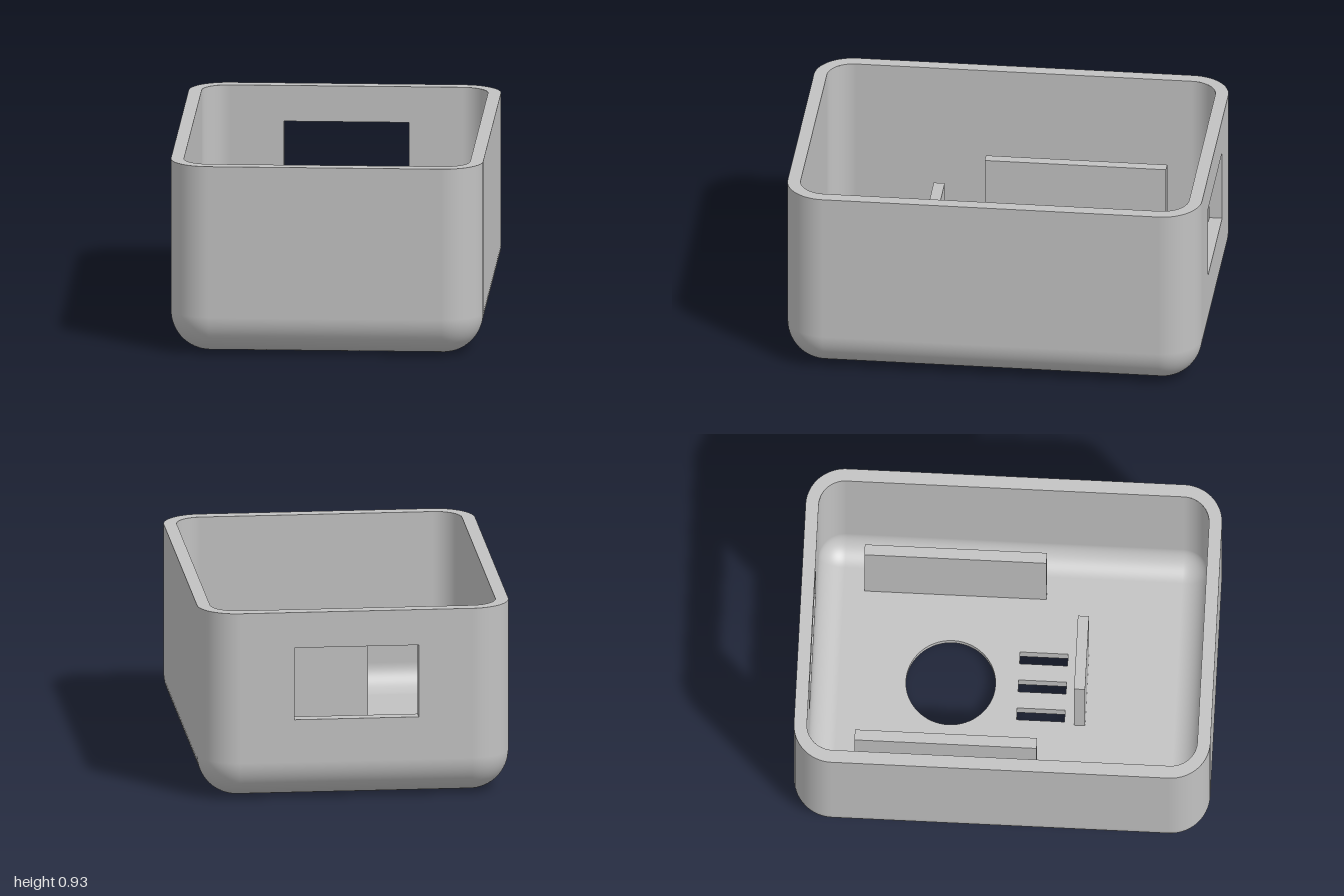
import * as THREE from 'three';

const HX = 0.56, HZ = 0.81;        // centres of the rounded corners
const R_OUT = 0.19, R_IN = 0.1275; // outer and inner corner radii
const TOP = 0.93, FLOOR = R_OUT - R_IN, RECESS = 0.03;
const HOLE = { x: 0, z: -0.275, r: 0.215, recess: 0.315 };
const SLOTS = [-0.143, 0, 0.143];
const SLOT = { w: 0.06, z0: 0.05, z1: 0.28 };
const WINDOW = { w: 0.6, y0: 0.4, y1: 0.755 };

// Rounded wall that rolls under into the floor; the flat back is left open for the window panel
function shellSurface(r, inside) {
  const n = 16, cols = 4 * (n + 1), backGap = 3 * (n + 1) - 1;
  const signs = [[1, 1], [-1, 1], [-1, -1], [1, -1]];
  const pos = [], nor = [], idx = [];
  const flip = inside ? -1 : 1;
  for (let j = -1; j <= n; j++) {
    const phi = Math.max(j, 0) / n * Math.PI / 2;
    const c = Math.cos(phi), s = Math.sin(phi);
    const y = j < 0 ? TOP : R_OUT - r * s;
    signs.forEach(([sx, sz], k) => {
      for (let i = 0; i <= n; i++) {
        const a = (k + i / n) * Math.PI / 2;
        pos.push(sx * HX + r * c * Math.cos(a), y, sz * HZ + r * c * Math.sin(a));
        nor.push(flip * c * Math.cos(a), -flip * s, flip * c * Math.sin(a));
      }
    });
  }
  for (let j = 0; j <= n; j++) {
    for (let i = 0; i < cols; i++) {
      if (j === 0 && i === backGap) continue;
      const a = j * cols + i, b = j * cols + (i + 1) % cols, c = a + cols, d = b + cols;
      if (inside) idx.push(a, c, b, b, c, d);
      else idx.push(a, b, c, b, d, c);
    }
  }
  const g = new THREE.BufferGeometry();
  g.setAttribute('position', new THREE.Float32BufferAttribute(pos, 3));
  g.setAttribute('normal', new THREE.Float32BufferAttribute(nor, 3));
  g.setIndex(idx);
  return g;
}

function roundedRect(r, Type) {
  const p = new Type(), q = Math.PI / 2;
  p.absarc(HX, HZ, r, 0, q);
  p.absarc(-HX, HZ, r, q, 2 * q);
  p.absarc(-HX, -HZ, r, 2 * q, 3 * q);
  p.absarc(HX, -HZ, r, 3 * q, 4 * q);
  p.closePath();
  return p;
}

function rect(x0, y0, x1, y1, Type = THREE.Path) {
  return new Type([[x0, y0], [x1, y0], [x1, y1], [x0, y1]].map(([x, y]) => new THREE.Vector2(x, y)));
}

function circle(r, Type = THREE.Path) {
  return new Type().absarc(HOLE.x, HOLE.z, r, 0, Math.PI * 2);
}

// Open four-sided tube with flat sides
function squareTube(w, h, d) {
  const g = new THREE.CylinderGeometry(Math.SQRT1_2, Math.SQRT1_2, 1, 4, 1, true, Math.PI / 4);
  const flat = g.scale(w, h, d).toNonIndexed();
  flat.computeVertexNormals();
  return flat;
}

export function createModel() {
  const model = new THREE.Group();
  model.name = 'openEnclosure';
  const grey = new THREE.MeshStandardMaterial({ color: 0xc2c2c2, side: THREE.DoubleSide });
  grey.name = 'grey';

  const add = (name, geometry, x = 0, y = 0, z = 0) => {
    const mesh = new THREE.Mesh(geometry, grey);
    mesh.name = name;
    mesh.position.set(x, y, z);
    model.add(mesh);
    return mesh;
  };
  // Flat horizontal sheet: shape y becomes z
  const sheet = (name, shape, y) =>
    add(name, new THREE.ShapeGeometry(shape, 32).rotateX(Math.PI / 2), 0, y, 0);

  // Walls
  add('outerWall', shellSurface(R_OUT, false));
  add('innerWall', shellSurface(R_IN, true));

  // Rim
  const rim = roundedRect(R_OUT, THREE.Shape);
  rim.holes.push(roundedRect(R_IN, THREE.Path));
  sheet('rim', rim, TOP);

  // Back panel faces and window reveal
  const panel = rect(-HX, R_OUT, HX, TOP, THREE.Shape);
  panel.holes.push(rect(-WINDOW.w / 2, WINDOW.y0, WINDOW.w / 2, WINDOW.y1));
  const zOut = -HZ - R_OUT, zIn = -HZ - R_IN;
  add('backPanelOuter', new THREE.ShapeGeometry(panel).rotateY(Math.PI), 0, 0, zOut);
  add('backPanelInner', new THREE.ShapeGeometry(panel), 0, 0, zIn);
  const winH = WINDOW.y1 - WINDOW.y0;
  add('windowReveal', squareTube(WINDOW.w, zIn - zOut, winH).rotateX(Math.PI / 2),
    0, (WINDOW.y0 + WINDOW.y1) / 2, (zIn + zOut) / 2);

  // Floor: underside with round recess, recess ledge, and inner face
  const floorFace = (r) => {
    const s = rect(-HX, -HZ, HX, HZ, THREE.Shape);
    s.holes.push(circle(r));
    SLOTS.forEach((x) => s.holes.push(rect(x - SLOT.w / 2, SLOT.z0, x + SLOT.w / 2, SLOT.z1)));
    return s;
  };
  sheet('underside', floorFace(HOLE.recess), 0);
  sheet('innerFloor', floorFace(HOLE.r), FLOOR);
  const ledge = circle(HOLE.recess, THREE.Shape);
  ledge.holes.push(circle(HOLE.r));
  sheet('recessLedge', ledge, RECESS);

  // Hole and slot sides
  const ring = (name, r, y0, y1) =>
    add(name, new THREE.CylinderGeometry(r, r, y1 - y0, 64, 1, true), HOLE.x, (y0 + y1) / 2, HOLE.z);
  ring('recessSide', HOLE.recess, 0, RECESS);
  ring('holeSide', HOLE.r, RECESS, FLOOR);
  SLOTS.forEach((x) => add('slotSide', squareTube(SLOT.w, FLOOR, SLOT.z1 - SLOT.z0),
    x, FLOOR / 2, (SLOT.z0 + SLOT.z1) / 2));

  // Upright plates inside
  const plateTop = 0.57, plateH = plateTop - FLOOR, plateY = (plateTop + FLOOR) / 2;
  for (const side of [-1, 1]) {
    add(side > 0 ? 'leftPlate' : 'rightPlate', new THREE.BoxGeometry(0.053, plateH, 0.875),
      side * 0.473, plateY, -0.275);
  }
  add('crossPlate', new THREE.BoxGeometry(0.375, plateH, 0.053), 0, plateY, 0.353);

  return model;
}
